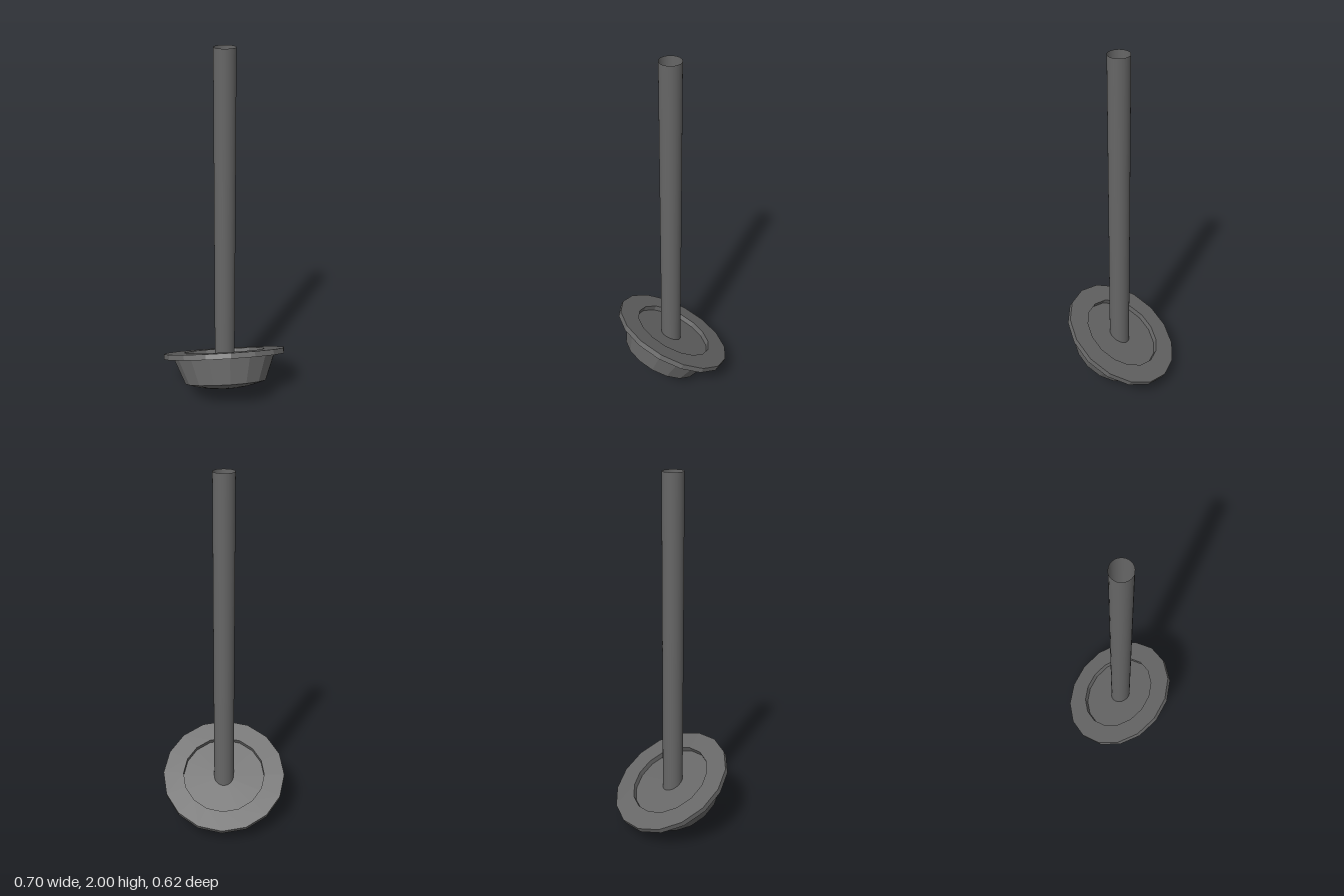
import * as THREE from 'three';

const SIDES = 16;

// Faceted look: every face gets its own normal
function faceted(geometry) {
  const g = geometry.toNonIndexed();
  g.computeVertexNormals();
  return g;
}

function lathe(points) {
  return new THREE.LatheGeometry(points.map(([r, y]) => new THREE.Vector2(r, y)), SIDES);
}

export function createModel() {
  const model = new THREE.Group();
  model.name = 'ceilingLamp';
  const darkGray = new THREE.MeshStandardMaterial({ color: 0x666666, side: THREE.DoubleSide });
  darkGray.name = 'darkGray';

  const add = (parent, name, geometry, x = 0, y = 0, z = 0) => {
    const mesh = new THREE.Mesh(geometry, darkGray);
    mesh.name = name;
    mesh.position.set(x, y, z);
    parent.add(mesh);
    return mesh;
  };

  // Upright hollow pole, open at the ends
  const bottom = 0.2, top = 2;
  add(model, 'pole', new THREE.CylinderGeometry(0.057, 0.057, top - bottom, 32, 1, true),
    0, (top + bottom) / 2, 0.0125);

  // Head, tilted so its front edge is raised
  const head = new THREE.Group();
  head.name = 'head';
  head.position.set(0, 0.257, 0);
  head.rotation.x = -Math.PI / 6;
  model.add(head);

  // Flat ring with a round opening
  add(head, 'flange', faceted(lathe([
    [0.35, -0.015], [0.35, 0.015], [0.234, 0.015], [0.234, -0.015], [0.35, -0.015],
  ])));

  // Tapered housing; its top closes the opening of the ring
  const height = 0.146;
  add(head, 'housing', faceted(new THREE.CylinderGeometry(0.293, 0.234, height, SIDES)),
    0, -0.0155 - height / 2, 0);

  // Shallow dome under the housing
  const rim = 0.234, depth = 0.04;
  const radius = (rim * rim + depth * depth) / (2 * depth);
  const profile = [];
  for (let i = 0; i <= 6; i++) {
    const r = (rim * i) / 6;
    profile.push([r, radius - depth - Math.sqrt(radius * radius - r * r)]);
  }
  add(head, 'lens', lathe(profile), 0, -0.0155 - height, 0);

  return model;
}
